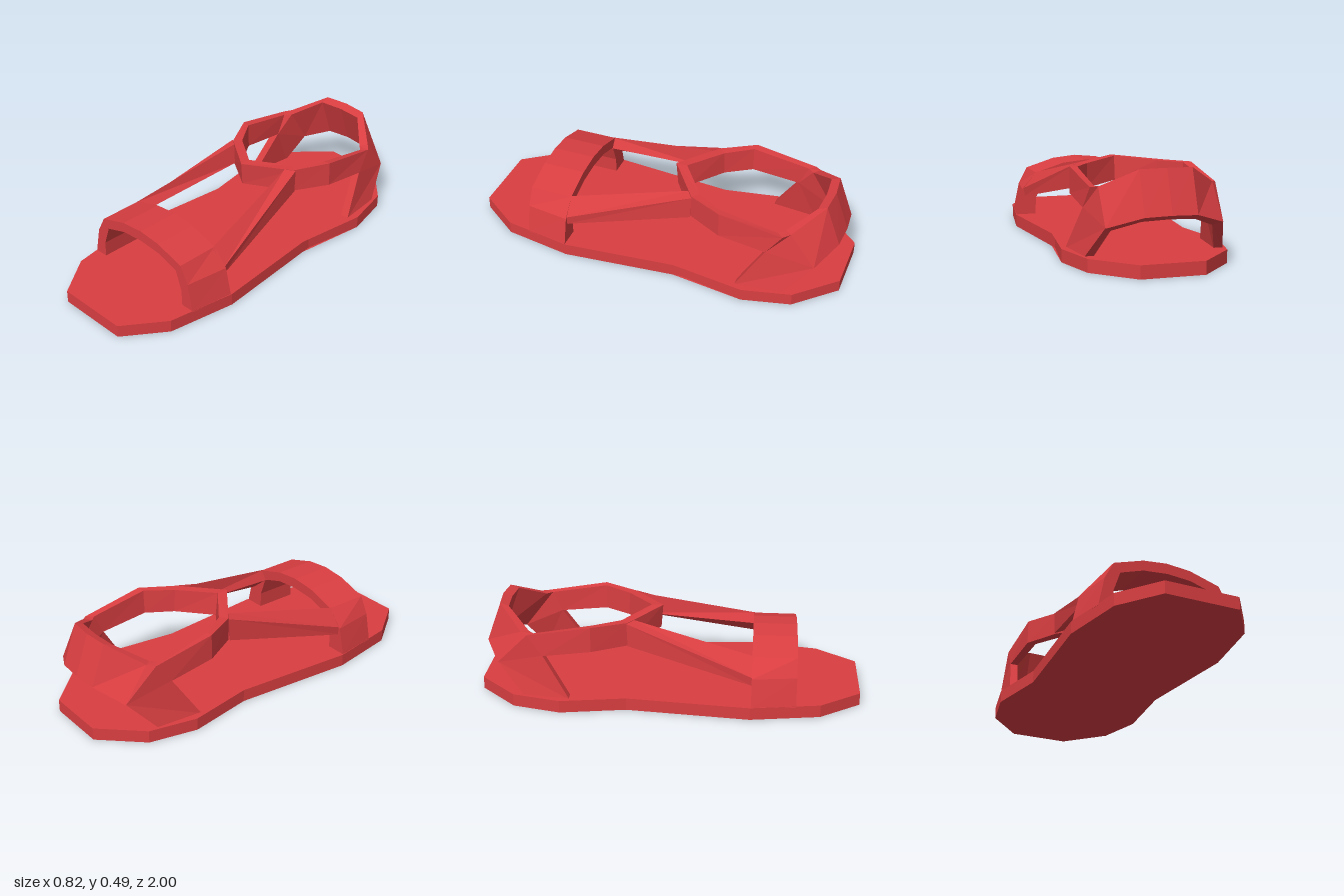
import * as THREE from 'three';

const material = new THREE.MeshStandardMaterial({ color: 0xd93e41, flatShading: true });

// Solid skin over a row of equal-sized cross-sections, capped unless it is a closed loop
function loft(name, sections, closed = false) {
  const tris = [];
  const n = sections[0].length;
  const count = closed ? sections.length : sections.length - 1;
  for (let i = 0; i < count; i++) {
    const a = sections[i], b = sections[(i + 1) % sections.length];
    for (let j = 0; j < n; j++) {
      const k = (j + 1) % n;
      tris.push([a[j], b[j], b[k]], [a[j], b[k], a[k]]);
    }
  }
  if (!closed) {
    const first = sections[0], last = sections[sections.length - 1];
    for (let j = 1; j < n - 1; j++) {
      tris.push([first[0], first[j], first[j + 1]], [last[0], last[j + 1], last[j]]);
    }
  }
  // Turn the faces outward if the enclosed volume comes out negative
  const v = (p) => new THREE.Vector3(...p);
  const volume = tris.reduce((s, [a, b, c]) => s + v(a).dot(v(b).cross(v(c))), 0);
  const points = tris.flatMap(([a, b, c]) => (volume < 0 ? [a, c, b] : [a, b, c]));
  const geometry = new THREE.BufferGeometry();
  geometry.setAttribute('position', new THREE.Float32BufferAttribute(points.flat(), 3));
  geometry.computeVertexNormals();
  const mesh = new THREE.Mesh(geometry, material);
  mesh.name = name;
  return mesh;
}

const mirror = (section) => section.map(([x, y, z]) => [-x, y, z]);

// Half a row of sections, ending on the centre line, continued on the other side
const mirrorRow = (half) => [...half, ...half.slice(0, -1).reverse().map(mirror)];

export function createModel() {
  const group = new THREE.Group();
  group.name = 'sandal';

  // Sole
  const half = [[0.195, 1], [0.348, 0.79], [0.408, 0.43], [0.35, -0.21],
    [0.408, -0.55], [0.35, -0.8], [0.16, -1]];
  const outline = [...half, ...half.slice().reverse().map(([x, z]) => [-x, z])];
  group.add(loft('sole', [0, 0.066].map((y) => outline.map(([x, z]) => [x, y, z]))));

  // Toe strap: [outer front x, outer back x, outer y, inner x, inner y]
  const toe = [[0.37, 0.405, 0.06, 0.295, 0.06], [0.338, 0.37, 0.21, 0.292, 0.15],
    [0.29, 0.29, 0.3, 0.255, 0.255], [0.13, 0.13, 0.35, 0.13, 0.295], [0, 0, 0.363, 0, 0.306]];
  group.add(loft('toeStrap', mirrorRow(toe.map(([xf, xb, yo, xi, yi]) =>
    [[xf, yo, 0.665], [xb, yo, 0.435], [xi, yi, 0.435], [xi, yi, 0.665]]))));

  // Ankle band: outer top, inner top, inner bottom, outer bottom, from tip to heel
  const band = [
    [[0, 0.45, -0.045], [0, 0.45, -0.105], [0, 0.325, -0.12], [0, 0.325, -0.055]],
    [[0.225, 0.436, -0.21], [0.19, 0.436, -0.245], [0.19, 0.31, -0.25], [0.225, 0.31, -0.21]],
    [[0.32, 0.443, -0.39], [0.28, 0.44, -0.385], [0.275, 0.31, -0.385], [0.322, 0.31, -0.39]],
    [[0.315, 0.388, -0.72], [0.285, 0.388, -0.69], [0.285, 0.28, -0.64], [0.327, 0.28, -0.64]],
    [[0.285, 0.395, -0.755], [0.255, 0.39, -0.72], [0.25, 0.2, -0.84], [0.29, 0.22, -0.885]],
    [[0.13, 0.487, -0.89], [0.13, 0.47, -0.845], [0.13, 0.25, -0.925], [0.13, 0.275, -0.968]],
    [[0, 0.49, -0.902], [0, 0.472, -0.855], [0, 0.256, -0.935], [0, 0.28, -0.978]],
  ];
  group.add(loft('ankleBand', [...band, ...band.slice(1, -1).reverse().map(mirror)], true));

  // Paired straps
  const instep = [
    [[0.36, 0.165, 0.45], [0.365, 0.21, 0.45], [0.29, 0.3, 0.45], [0.255, 0.25, 0.45]],
    [[0.235, 0.31, -0.21], [0.235, 0.434, -0.215], [0.188, 0.438, -0.18], [0.172, 0.33, -0.17]],
  ];
  const heelLeg = [
    [[0.375, 0.06, -0.5], [0.35, 0.06, -0.74], [0.305, 0.06, -0.74], [0.33, 0.06, -0.5]],
    [[0.327, 0.282, -0.64], [0.29, 0.222, -0.884], [0.25, 0.205, -0.845], [0.285, 0.282, -0.64]],
  ];
  for (const [side, place] of [['left', (s) => s], ['right', mirror]]) {
    group.add(loft(side + 'InstepStrap', instep.map(place)));
    group.add(loft(side + 'HeelLeg', heelLeg.map(place)));
  }
  return group;
}
